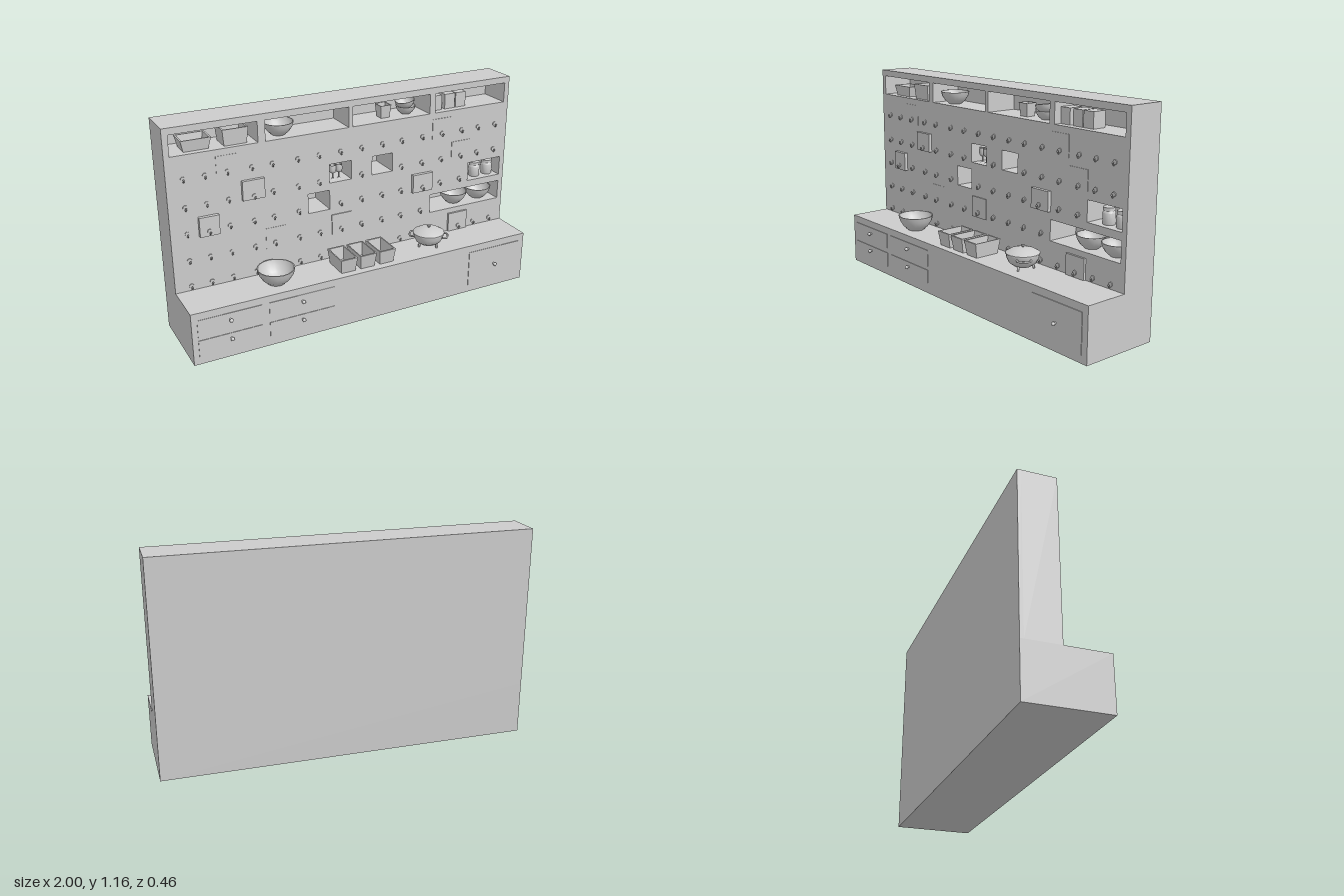
import * as THREE from 'three';
import { toCreasedNormals } from 'three/addons/utils/BufferGeometryUtils.js';

const mat = new THREE.MeshStandardMaterial({ color: 0xcccccc });
const thin = new THREE.MeshStandardMaterial({ color: 0xcccccc, side: THREE.DoubleSide });
const WALL = -0.03, FRONT = 0.205, BACK = -0.23, TOP = 0.29, IN = -0.11;

function add(parent, name, geo, x = 0, y = 0, z = 0, m = mat) {
  const mesh = new THREE.Mesh(geo, m);
  mesh.name = name;
  mesh.position.set(x, y, z);
  parent.add(mesh);
  return mesh;
}

// Box given by its limits on each axis
function slab(parent, name, x0, x1, y0, y1, z0, z1) {
  return add(parent, name, new THREE.BoxGeometry(x1 - x0, y1 - y0, z1 - z0),
    (x0 + x1) / 2, (y0 + y1) / 2, (z0 + z1) / 2);
}

function lathe(points, segments = 20) {
  const geo = new THREE.LatheGeometry(points.map(p => new THREE.Vector2(...p)), segments);
  return toCreasedNormals(geo, 0.7);
}

// Round bowl with an inner wall, standing on y = 0
function bowl(r, h) {
  return lathe([[0, 0], [r * 0.45, 0], [r * 0.72, h * 0.28], [r * 0.92, h * 0.65], [r, h],
    [r * 0.94, h], [r * 0.85, h * 0.65], [r * 0.64, h * 0.32], [r * 0.4, h * 0.1], [0, h * 0.1]], 20);
}

// Open rectangular bin with tapered walls
function bin(w, d, h, taper = 0.82) {
  const s = Math.SQRT1_2, t = 0.88;
  const pts = [[0, 0], [s * taper, 0], [s, h], [s * t, h], [s * taper * t, h * 0.1], [0, h * 0.1]];
  const geo = new THREE.LatheGeometry(pts.map(p => new THREE.Vector2(...p)), 4, Math.PI / 4)
    .scale(w, 1, d).toNonIndexed();
  geo.computeVertexNormals();
  return geo;
}

function rectHole([x0, x1, y0, y1]) {
  return new THREE.Path([[x0, y0], [x0, y1], [x1, y1], [x1, y0]].map(p => new THREE.Vector2(...p)));
}

export function createModel() {
  const model = new THREE.Group();
  model.name = 'kitchenWall';

  // Niches cut into the wall: x0, x1, y0, y1
  const niches = [
    [-0.97, -0.52, 1.02, 1.13], [-0.48, -0.015, 1.02, 1.13],
    [0.01, 0.48, 1.02, 1.13], [0.515, 0.97, 1.02, 1.13],
    [-0.13, 0, 0.73, 0.835], [0.125, 0.25, 0.73, 0.835],
    [-0.255, -0.13, 0.58, 0.69], [0.75, 0.97, 0.58, 0.69], [0.5, 0.97, 0.43, 0.54],
  ];
  const face = new THREE.Shape([[-1, TOP], [1, TOP], [1, 1.165], [-1, 1.165]]
    .map(p => new THREE.Vector2(...p)));
  face.holes = niches.map(rectHole);
  const depth = 0.18;
  add(model, 'wall', new THREE.ExtrudeGeometry(face, { depth, bevelEnabled: false }), 0, 0, WALL - depth);
  slab(model, 'wallBack', -1, 1, TOP, 1.165, BACK, WALL - depth);
  slab(model, 'counter', -1, 1, 0, TOP, BACK, FRONT);

  // Raised wall panels: x0, x1, y0, y1, thickness
  const panels = [
    [-0.62, -0.5, 0.73, 0.835, 0.018], [-0.855, -0.75, 0.58, 0.685, 0.02],
    [0.375, 0.5, 0.58, 0.685, 0.02], [0.625, 0.75, 0.29, 0.4, 0.012],
    [-0.12, 0, 0.43, 0.545, 0.006], [0.5, 0.62, 0.87, 0.985, 0.003],
    [0.63, 0.75, 0.73, 0.835, 0.003], [-0.745, -0.63, 0.87, 0.985, 0.002],
    [-0.5, -0.38, 0.43, 0.545, 0.002],
  ];
  for (const [x0, x1, y0, y1, t] of panels) slab(model, 'wallPanel', x0, x1, y0, y1, WALL, WALL + t);

  // Rows of small hooks, left out over the niches
  const pegs = new THREE.Group();
  pegs.name = 'hooks';
  model.add(pegs);
  const plate = new THREE.CylinderGeometry(0.012, 0.012, 0.006, 10).rotateX(Math.PI / 2);
  const hook = new THREE.TorusGeometry(0.009, 0.003, 6, 10, Math.PI * 1.2).rotateY(Math.PI / 2).rotateX(Math.PI);
  const tip = new THREE.SphereGeometry(0.005, 8, 6);
  const inside = (x, y) => ([x0, x1, y0, y1]) => x > x0 && x < x1 && y > y0 && y < y1;
  const columns = [-0.915, -0.805, -0.69, -0.56, -0.45, -0.31, -0.19, -0.065,
    0.06, 0.185, 0.305, 0.435, 0.56, 0.69, 0.8, 0.915];
  for (const y of [0.895, 0.745, 0.603, 0.455, 0.312]) {
    for (const x of columns) {
      if (niches.some(inside(x, y))) continue;
      const panel = panels.find(inside(x, y));
      const z = WALL + (panel ? panel[4] : 0);
      add(pegs, 'hookPlate', plate, x, y + 0.004, z + 0.002);
      add(pegs, 'hook', hook, x, y - 0.002, z + 0.009);
      add(pegs, 'hookTip', tip, x, y + 0.002, z + 0.017);
    }
  }

  // Drawer fronts and knobs
  const drawers = [
    [-0.97, -0.63, 0.155, 0.25, 0.215], [-0.97, -0.63, 0.04, 0.135, 0.108],
    [-0.59, -0.225, 0.155, 0.25, 0.215], [-0.59, -0.225, 0.04, 0.135, 0.108],
    [0.625, 0.965, 0.04, 0.25, 0.145],
  ];
  for (const [x0, x1, y0, y1, ky] of drawers) {
    slab(model, 'drawerFront', x0, x1, y0, y1, FRONT, FRONT + 0.003);
    const x = (x0 + x1) / 2;
    add(model, 'knobStem', new THREE.CylinderGeometry(0.004, 0.006, 0.02, 10).rotateX(Math.PI / 2), x, ky, FRONT + 0.01);
    add(model, 'knob', new THREE.SphereGeometry(0.01, 12, 8), x, ky, FRONT + 0.019);
  }

  // Counter: mixing bowl and three trays
  add(model, 'mixingBowl', bowl(0.1, 0.085), -0.5, TOP, 0.09, thin);
  for (const x of [-0.118, -0.003, 0.113]) add(model, 'tray', bin(0.097, 0.168, 0.08, 0.84), x, TOP, 0.092, thin);

  // Lidded pot on three legs with two loop handles
  const pot = new THREE.Group();
  pot.name = 'pot';
  pot.position.set(0.425, TOP, 0.085);
  pot.rotation.y = -0.65;
  model.add(pot);
  add(pot, 'potBody', lathe([[0, 0.015], [0.045, 0.017], [0.07, 0.035], [0.082, 0.06], [0.086, 0.083], [0, 0.083]], 24));
  add(pot, 'potLid', lathe([[0, 0.08], [0.088, 0.08], [0.088, 0.086], [0.06, 0.102], [0.03, 0.11], [0, 0.113]], 24));
  add(pot, 'lidKnob', lathe([[0.004, 0.108], [0.005, 0.116], [0.011, 0.121], [0.009, 0.125], [0, 0.125]], 12));
  for (let i = 0; i < 3; i++) {
    const a = i * Math.PI * 2 / 3 + 0.5;
    const leg = add(pot, 'potLeg', new THREE.CylinderGeometry(0.009, 0.005, 0.034, 8), 0.054 * Math.cos(a), 0.017, 0.054 * Math.sin(a));
    leg.rotation.set(-0.2 * Math.sin(a), 0, 0.2 * Math.cos(a));
  }
  for (const s of [-1, 1]) {
    const path = new THREE.CatmullRomCurve3([[0.076, -0.035], [0.1, -0.03], [0.106, 0], [0.1, 0.03], [0.076, 0.035]]
      .map(([x, z]) => new THREE.Vector3(s * x, 0.066, z)));
    add(pot, 'potHandle', new THREE.TubeGeometry(path, 16, 0.005, 8), 0, 0, 0);
  }

  // Top niches: bins, bowls, cup and boxes
  const shelf = 1.02;
  add(model, 'shelfBin', bin(0.155, 0.11, 0.06), -0.828, shelf, IN, thin);
  add(model, 'shelfBin', bin(0.135, 0.12, 0.085, 0.88), -0.628, shelf, IN, thin);
  add(model, 'shelfBowl', bowl(0.08, 0.068), -0.377, shelf, IN, thin);
  add(model, 'shelfCup', bin(0.065, 0.065, 0.07, 0.78), 0.232, shelf, IN, thin);
  add(model, 'stackedBowl', bowl(0.055, 0.045), 0.372, shelf, IN, thin);
  add(model, 'stackedBowl', bowl(0.055, 0.045), 0.372, shelf + 0.032, IN, thin).rotation.z = 0.15;
  for (const [x0, x1] of [[0.517, 0.58], [0.6, 0.664], [0.67, 0.735]]) {
    slab(model, 'canister', x0, x1, shelf, shelf + 0.083, IN - 0.04, IN + 0.04);
  }

  // Stemmed glasses, jars and bowls in the wall niches
  for (const x of [-0.09, -0.053]) {
    add(model, 'glass', lathe([[0, 0], [0.015, 0], [0.004, 0.006], [0.004, 0.033], [0.015, 0.04], [0.02, 0.055],
      [0.018, 0.082], [0.016, 0.08], [0.017, 0.055], [0, 0.042]], 14), x, 0.73, -0.075, thin);
  }
  for (const x of [0.835, 0.922]) {
    add(model, 'jar', lathe([[0, 0], [0.03, 0], [0.032, 0.008], [0.032, 0.058], [0.024, 0.068],
      [0.03, 0.068], [0.03, 0.085], [0, 0.085]], 18), x, 0.58, -0.09);
  }
  for (const x of [0.71, 0.878]) add(model, 'nicheBowl', bowl(0.08, 0.068), x, 0.43, IN, thin);

  return model;
}
